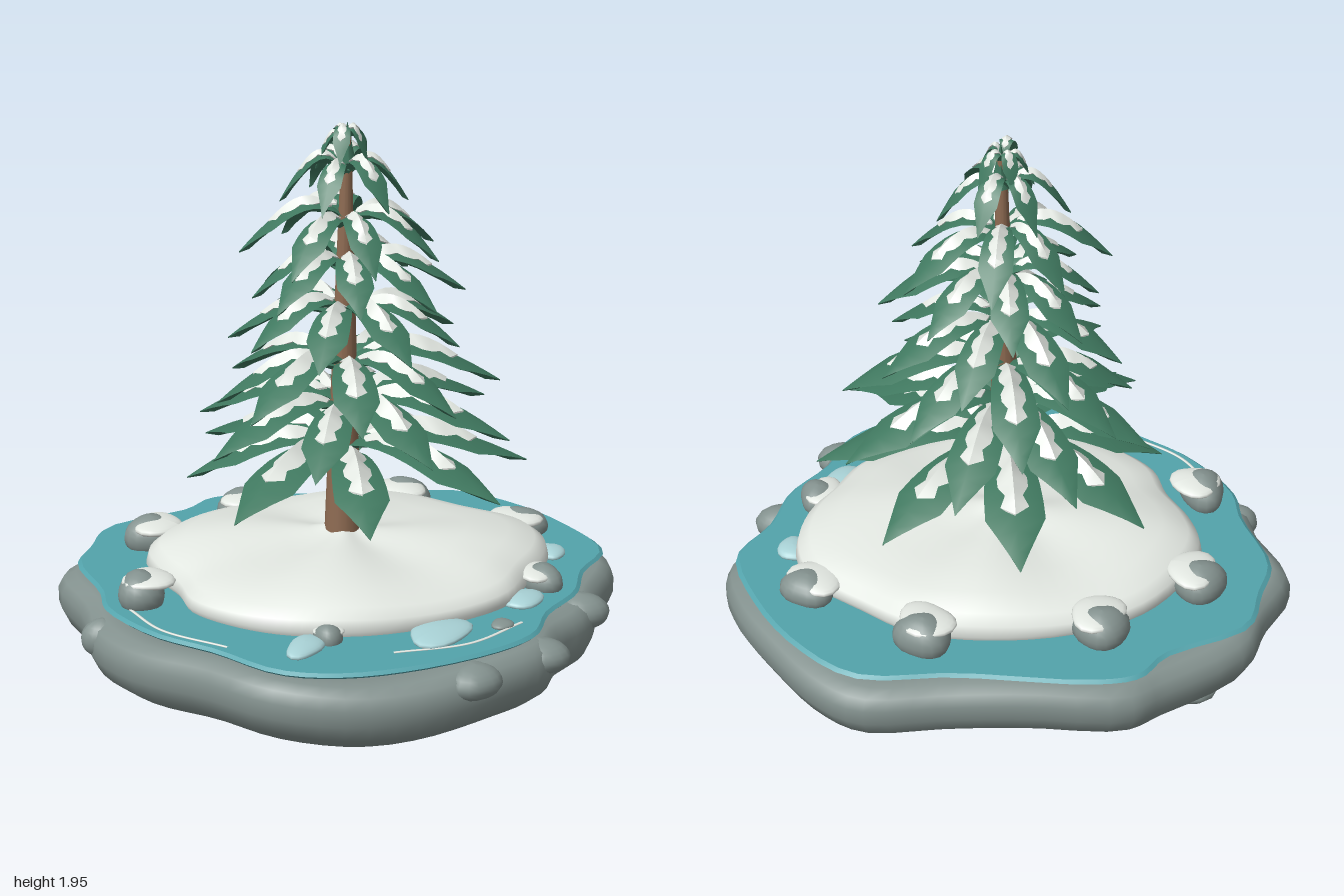
import * as THREE from 'three';
import { mergeGeometries, toCreasedNormals } from 'three/addons/utils/BufferGeometryUtils.js';

const mat = (name, color) => {
  const m = new THREE.MeshStandardMaterial({ color });
  m.name = name;
  return m;
};

// Small seeded random, -1 to 1
let seed = 11;
const rnd = () => {
  seed = (seed * 16807) % 2147483647;
  return (seed / 2147483647) * 2 - 1;
};

// Skin over a list of closed rings of points
function loft(rings) {
  const n = rings[0].length, pos = [], idx = [];
  rings.forEach((r) => r.forEach((p) => pos.push(...p)));
  for (let i = 0; i < rings.length - 1; i++) {
    for (let j = 0; j < n; j++) {
      const k = (j + 1) % n, a = i * n + j, b = i * n + k;
      idx.push(a, a + n, b, b, a + n, b + n);
    }
  }
  const g = new THREE.BufferGeometry();
  g.setAttribute('position', new THREE.Float32BufferAttribute(pos, 3));
  g.setIndex(idx);
  g.computeVertexNormals();
  return g;
}

// Smooth closed outline in x and z, running from +x towards +z
function outline(points, count = 80) {
  const c = new THREE.CatmullRomCurve3(points.map(([x, z]) => new THREE.Vector3(x, 0, z)), true);
  return c.getPoints(count).slice(0, count);
}

// Stack scaled copies of an outline: profile = [scale, y]
function slab(points, profile, cz = 0, wobble = () => 0) {
  return loft(profile.map(([s, y]) => points.map((p) => [
    p.x * s, y + wobble(Math.atan2(p.z - cz, p.x), s, y), cz + (p.z - cz) * s])));
}

// Arched, kite-shaped branch running along +x; snow is a shorter layer lying on it
function branch(R, half, rise, drop, snow) {
  const rings = [];
  const steps = 10;
  for (let i = 0; i <= steps; i++) {
    const u = i / steps;
    const t = snow ? 0.12 + 0.6 * u : u;
    const y = rise * Math.sin(Math.PI * Math.pow(t, 0.8)) - drop * t * t;
    const leaf = half * (t < 0.7 ? 0.3 + 0.7 * Math.sin((t / 0.7) * Math.PI / 2) : (1 - t) / 0.3);
    const end = i === 0 || i === steps;
    const jag = i % 3 === 2 ? 0.42 : 0.7;
    const w = snow ? (end ? 0.001 : leaf * jag * (1 - 0.35 * u)) : Math.max(leaf, 0.001);
    const lift = snow ? 0.005 + (end ? 0 : 0.05 * R * Math.sin(Math.PI * u)) : 0;
    const side = y - w * 0.32 + (snow ? 0.006 : 0);
    const under = snow ? 0.012 : end ? 0.004 : 0.026 + w * 0.2;
    rings.push([[t * R, y + lift, 0], [t * R, side, -w], [t * R, y - under, 0], [t * R, side, w]]);
  }
  return toCreasedNormals(loft(rings), 0.7);
}

export function createModel() {
  const model = new THREE.Group();
  model.name = 'snowyTreeIsland';
  const stone = mat('stone', 0x84928f);
  const water = mat('water', 0x53a3ab);
  const snow = mat('snow', 0xe2e7e1);
  const green = mat('needles', 0x3f785f);
  const bark = mat('bark', 0x8e6b52);
  const ice = mat('ice', 0xa9d2d6);

  const add = (name, geo, material, parent = model) => {
    const m = new THREE.Mesh(geo, material);
    m.name = name;
    parent.add(m);
    return m;
  };

  // Stone base with an uneven rim and underside
  const base = outline([[0.99, -0.08], [0.95, -0.3], [0.84, -0.5], [0.7, -0.69], [0.55, -0.8], [0.28, -0.82],
    [0, -0.85], [-0.36, -0.87], [-0.5, -0.79], [-0.8, -0.62], [-0.88, -0.47], [-1, -0.28], [-0.93, -0.02],
    [-0.91, 0.18], [-0.8, 0.38], [-0.6, 0.58], [-0.4, 0.78], [-0.15, 0.86], [0.13, 0.84], [0.4, 0.75],
    [0.57, 0.65], [0.66, 0.48], [0.8, 0.32], [0.88, 0.12]].reverse());
  add('stoneBase', slab(base, [[0, 0.04], [0.5, 0.04], [0.8, 0.045], [0.9, 0.07], [0.97, 0.12], [1, 0.18],
    [1, 0.235], [0.98, 0.275], [0.94, 0.298], [0.87, 0.3], [0.8, 0.28], [0, 0.28]], 0,
  (a, s) => (s > 0.75 ? 0.014 * Math.sin(5 * a + 3.2) * s : 0)), stone);

  // Sheet of water
  const pond = outline([[0.95, -0.08], [0.89, -0.33], [0.75, -0.58], [0.55, -0.76], [0.22, -0.78], [-0.25, -0.85],
    [-0.4, -0.83], [-0.5, -0.73], [-0.8, -0.6], [-0.87, -0.43], [-0.93, -0.27], [-0.87, 0], [-0.86, 0.16],
    [-0.72, 0.4], [-0.54, 0.56], [-0.35, 0.76], [-0.15, 0.82], [0.1, 0.8], [0.4, 0.7], [0.54, 0.6],
    [0.62, 0.44], [0.76, 0.28], [0.83, 0.1]].reverse());
  add('water', toCreasedNormals(slab(pond, [[0, 0.322], [0.985, 0.322], [1, 0.332], [0.985, 0.342], [0, 0.342]]), 0.4), water);

  // Snow mound with soft folds running up to the trunk
  const mound = outline([[0.74, -0.1], [0.7, 0.07], [0.6, 0.22], [0.5, 0.37], [0.3, 0.48], [0.05, 0.54], [-0.15, 0.53],
    [-0.32, 0.48], [-0.47, 0.38], [-0.58, 0.25], [-0.61, 0.1], [-0.67, -0.05], [-0.69, -0.2], [-0.62, -0.35],
    [-0.45, -0.52], [-0.2, -0.61], [0.1, -0.62], [0.35, -0.56], [0.52, -0.43], [0.7, -0.26]]);
  add('snowMound', slab(mound, [[0, 0.275], [0.85, 0.285], [0.97, 0.32], [1, 0.36], [0.985, 0.395], [0.93, 0.425],
    [0.8, 0.455], [0.6, 0.475], [0.35, 0.482], [0.18, 0.487], [0.08, 0.505], [0, 0.52]], -0.06,
  (a, s, y) => (y > 0.38 ? 0.05 * s * Math.sin(4 * a + 0.6) * (1.1 - s) : 0)), snow);

  // Rounded lump with gentle irregularities
  const lump = (name, x, y, z, sx, sy, sz, material, turn = 0) => {
    const g = new THREE.SphereGeometry(1, 18, 12), p = g.attributes.position, ph = rnd() * 3;
    for (let i = 0; i < p.count; i++) {
      const a = Math.atan2(p.getZ(i), p.getX(i));
      const k = 1 + 0.07 * Math.sin(2 * a + ph) + 0.07 * Math.sin(3 * a + ph * 2);
      p.setXYZ(i, p.getX(i) * k, p.getY(i), p.getZ(i) * k);
    }
    g.scale(sx, sy, sz);
    g.computeVertexNormals();
    const m = add(name, g, material);
    m.position.set(x, y, z);
    m.rotation.y = turn;
  };

  // Snow-capped rocks round the shore: x, z, radius, cap height
  [[-0.28, -0.59, 0.1, 0.42], [0.3, -0.59, 0.1, 0.425], [-0.63, -0.38, 0.1, 0.42], [0.67, -0.3, 0.1, 0.395],
    [0.63, 0.2, 0.08, 0.39], [-0.71, 0.12, 0.095, 0.42], [-0.15, 0.53, 0.05, 0.37]].forEach(([x, z, r, y]) => {
    const a = Math.atan2(z, x);
    lump('shoreRock', x * 1.04, (y + 0.33) / 2, z * 1.04, r * 0.88, (y - 0.29) * 0.6, r * 0.95, stone, -a);
    lump('rockSnowCap', x, y, z, r * 0.9, r * 0.26, r, snow, -a);
  });

  // Boulders set into the rim and underside: x, y, z, radius, half height
  [[-0.87, 0.22, 0.13, 0.07, 0.07], [0.3, 0.25, 0.74, 0.09, 0.06], [0.56, 0.25, 0.58, 0.09, 0.06],
    [0.79, 0.24, 0.22, 0.09, 0.065], [0.3, 0.045, 0.07, 0.14, 0.04],
    [-0.57, 0.055, -0.52, 0.14, 0.055]].forEach(([x, y, z, r, h]) => lump('baseBoulder', x, y, z, r, h, r, stone, rnd()));

  // Ice floes and a flat stone on the water
  [[0.22, 0.56, 0.13, 0.09, 0.6], [-0.24, 0.6, 0.06, 0.09, -0.5], [0.55, 0.33, 0.08, 0.075, 0.8],
    [0.75, -0.07, 0.05, 0.07, 0]].forEach(([x, z, sx, sz, r]) => lump('iceFloe', x, 0.348, z, sx, 0.022, sz, ice, r));
  lump('flatStone', 0.44, 0.345, 0.52, 0.04, 0.015, 0.04, stone);

  // Flat ripple lines on the water
  [[[-0.78, 0.19], [-0.69, 0.38], [-0.49, 0.55]], [[0.04, 0.68], [0.3, 0.65], [0.51, 0.51]]].forEach((pts) => {
    const c = new THREE.CatmullRomCurve3(pts.map(([x, z]) => new THREE.Vector3(x, 0, z)));
    const ripple = add('ripple', new THREE.TubeGeometry(c, 24, 0.006, 6).scale(1, 0.5, 1), snow);
    ripple.position.y = 0.343;
  });

  // Tree
  const tree = new THREE.Group();
  tree.name = 'tree';
  tree.position.set(0, 0, -0.06);
  model.add(tree);
  const trunk = add('trunk', new THREE.CylinderGeometry(0.016, 0.066, 1.46, 14), bark, tree);
  trunk.position.set(0, 1.17, 0);
  trunk.rotation.z = -0.01;
  const tip = add('treeTip', new THREE.ConeGeometry(0.035, 0.16, 6), green, tree);
  tip.position.set(0.01, 1.87, 0);

  // Branch tiers: root height, rise, drop, reach of each branch round the trunk
  [[0.79, 0.07, 0.09, [0.65, 0.62, 0.66, 0.63, 0.55, 0.65, 0.6, 0.63]],
    [0.95, 0.07, 0.09, [0.6, 0.56, 0.56, 0.53, 0.53, 0.5, 0.54, 0.58]],
    [1.1, 0.07, 0.1, [0.55, 0.47, 0.5, 0.48, 0.44, 0.5, 0.48, 0.46]],
    [1.28, 0.07, 0.09, [0.45, 0.42, 0.46, 0.41, 0.38, 0.42, 0.43, 0.4]],
    [1.44, 0.07, 0.09, [0.42, 0.37, 0.37, 0.35, 0.32, 0.37, 0.36, 0.38]],
    [1.61, 0.07, 0.11, [0.37, 0.32, 0.3, 0.36, 0.35, 0.31, 0.33]],
    [1.77, 0.08, 0.09, [0.22, 0.2, 0.19, 0.22, 0.21, 0.24]],
    [1.87, 0.07, 0.06, [0.11, 0.09, 0.1, 0.11, 0.09]]].forEach(([y, rise, drop, reaches], tier) => {
    const leaves = [], caps = [];
    reaches.forEach((reach, i) => {
      const a = ((i + (tier % 2) * 0.5) / reaches.length) * Math.PI * 2 + rnd() * 0.05;
      const half = 0.13 * reach + 0.015, dy = y + 0.02 * rnd();
      [[leaves, false], [caps, true]].forEach(([list, isSnow]) =>
        list.push(branch(reach, half, rise, drop, isSnow).rotateY(a).translate(0, dy, 0)));
    });
    add('branchTier', mergeGeometries(leaves), green, tree);
    add('branchSnow', mergeGeometries(caps), snow, tree);
  });

  return model;
}
